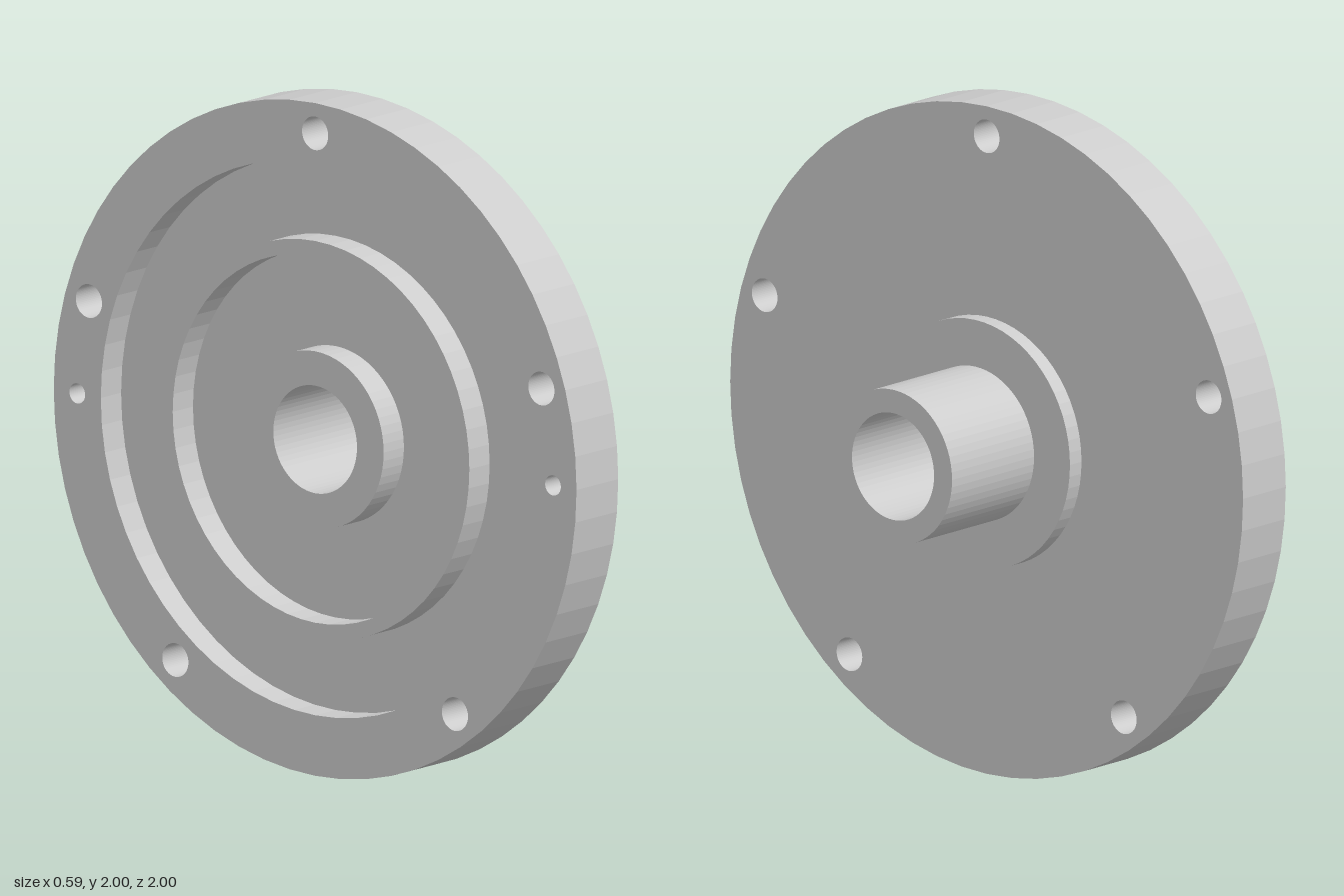
import * as THREE from 'three';

const SEGMENTS = 64;
const BACK = -0.295, FLOOR = -0.205, FACE = -0.11, STEP = -0.06, END = 0.295;
const BOLT_CIRCLE = 0.91, BOLT_R = 0.05, PIN_R = 0.03;

const material = new THREE.MeshStandardMaterial({ color: 0xcccccc, flatShading: true });

function addMesh(group, name, geometry, y = 0, z = 0) {
  const mesh = new THREE.Mesh(geometry, material);
  mesh.name = name;
  mesh.position.set(0, y, z);
  group.add(mesh);
}

// Surface of revolution about the x axis from [radius, x] pairs
function turned(profile) {
  const points = profile.map(([r, x]) => new THREE.Vector2(r, x));
  return new THREE.LatheGeometry(points, SEGMENTS).rotateZ(-Math.PI / 2);
}

// Flat ring with drilled holes, facing +x (side = 1) or -x (side = -1)
function drilledRing(inner, outer, holes, x, side) {
  const shape = new THREE.Shape().absarc(0, 0, outer, 0, Math.PI * 2, false);
  for (const [z, y, r] of [[0, 0, inner], ...holes]) {
    shape.holes.push(new THREE.Path().absarc(z, y, r, 0, Math.PI * 2, true));
  }
  return new THREE.ShapeGeometry(shape, SEGMENTS / 2)
    .rotateY(side * Math.PI / 2)
    .translate(x, 0, 0);
}

export function createModel() {
  const model = new THREE.Group();
  model.name = 'flangedHub';
  const axle = new THREE.Group();
  axle.name = 'flange';
  axle.position.y = 1;
  model.add(axle);

  // Five through bolt holes and two blind pin holes on one circle
  const bolts = [];
  for (let i = 0; i < 5; i++) {
    const a = Math.PI / 2 + i * Math.PI * 2 / 5;
    bolts.push([BOLT_CIRCLE * Math.cos(a), BOLT_CIRCLE * Math.sin(a), BOLT_R]);
  }
  const pins = [-1, 1].map(s => [s * BOLT_CIRCLE, 0, PIN_R]);

  // Disc: outer edge, front face and raised back rim
  addMesh(axle, 'discEdge', turned([[1, BACK], [1, FACE]]));
  addMesh(axle, 'frontFace', drilledRing(0.37, 1, bolts, FACE, 1));
  addMesh(axle, 'backRim', drilledRing(0.82, 1, [...bolts, ...pins], BACK, -1));

  // Shoulder, tube and bore
  addMesh(axle, 'shoulderAndTube', turned([
    [0.37, FACE], [0.37, STEP], [0.23, STEP], [0.23, END], [0.16, END], [0.16, BACK],
  ]));

  // Back recess with central boss and raised ring
  addMesh(axle, 'backRecess', turned([
    [0.16, BACK], [0.262, BACK], [0.262, FLOOR], [0.545, FLOOR], [0.545, BACK],
    [0.59, BACK], [0.59, FLOOR], [0.82, FLOOR], [0.82, BACK],
  ]));

  // Hole walls
  for (const [z, y, r] of bolts) {
    addMesh(axle, 'boltHole', turned([[r, FACE], [r, BACK]]), y, z);
  }
  for (const [z, y, r] of pins) {
    addMesh(axle, 'pinHole', turned([[0, FLOOR], [r, FLOOR], [r, BACK]]), y, z);
  }
  return model;
}
